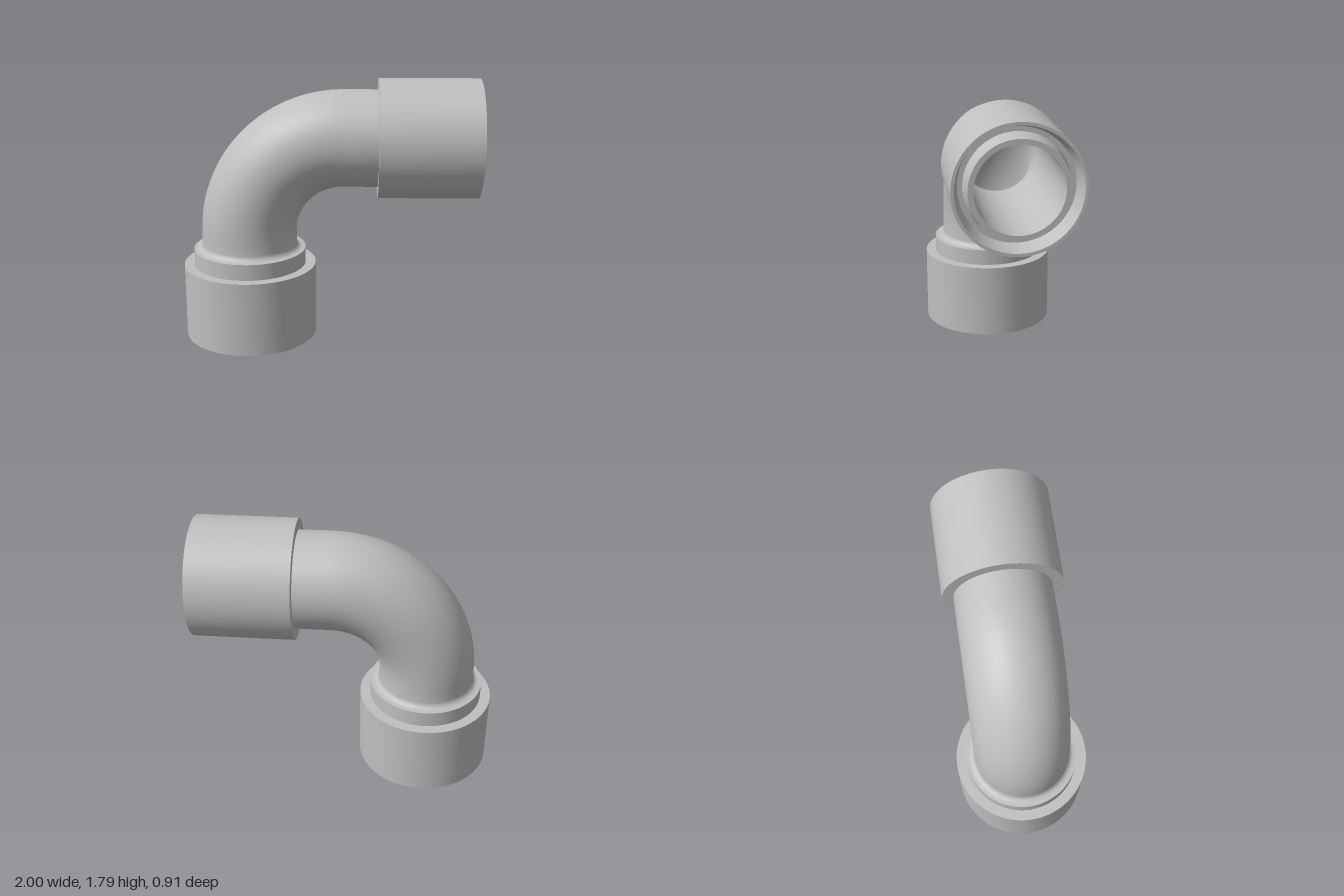
import * as THREE from 'three';
import { toCreasedNormals } from 'three/addons/utils/BufferGeometryUtils.js';

const BORE = 0.27, PIPE = 0.325, BEND = 0.645; // pipe radii and bend radius
const AXIS_X = -0.545, AXIS_Y = 1.39;          // lower axis and upper axis
const BEND_X = AXIS_X + BEND, BEND_Y = AXIS_Y - BEND;

// Revolved profile of [radius, height] pairs, crisp at its corners
function turned(points) {
  const profile = points.map(([r, h]) => new THREE.Vector2(r, h));
  return toCreasedNormals(new THREE.LatheGeometry(profile, 72), 0.5);
}

// Quarter-turn pipe surface; inward = true turns the faces to the inside
function quarterBend(radius, inward) {
  const geometry = new THREE.TorusGeometry(BEND, radius, 72, 48, Math.PI / 2);
  geometry.rotateZ(Math.PI / 2);
  if (inward) {
    geometry.setIndex(Array.from(geometry.index.array).reverse());
    const n = geometry.attributes.normal;
    for (let i = 0; i < n.count; i++) n.setXYZ(i, -n.getX(i), -n.getY(i), -n.getZ(i));
  }
  return geometry;
}

export function createModel() {
  const group = new THREE.Group();
  const grey = new THREE.MeshStandardMaterial({ color: 0xbfbfbf });
  grey.name = 'grey';

  function add(name, geometry, x, y) {
    const mesh = new THREE.Mesh(geometry, grey);
    mesh.name = name;
    mesh.position.set(x, y, 0);
    group.add(mesh);
  }

  // Lower socket: wide hollow cup, collar, small cove up to the pipe
  const cove = [];
  for (let i = 0; i <= 6; i++) {
    const a = (i / 6) * Math.PI / 2;
    cove.push([0.365 - 0.04 * Math.sin(a), 0.66 - 0.04 * Math.cos(a)]);
  }
  add('lowerSocket', turned([
    [0.435, 0], [0.455, 0], [0.455, 0.51], [0.385, 0.51], [0.385, 0.62],
    ...cove, [PIPE, BEND_Y],
  ]), AXIS_X, 0);
  add('lowerSocketInside', turned([
    [BORE, BEND_Y], [BORE, 0.6], [0.32, 0.43], [0.435, 0.43], [0.435, 0],
  ]), AXIS_X, 0);

  // Elbow
  add('elbowOutside', quarterBend(PIPE, false), BEND_X, BEND_Y);
  add('elbowBore', quarterBend(BORE, true), BEND_X, BEND_Y);

  // Upper pipe end with its sleeve and the groove between them
  const sleeve = turned([
    [PIPE, BEND_X], [PIPE, 0.33], [0.4, 0.33], [0.4, 1], [0.38, 1],
    [0.352, 0.88], [0.322, 0.88], [0.303, 1], [BORE, 1], [BORE, BEND_X],
  ]);
  sleeve.rotateZ(-Math.PI / 2);
  add('upperSleeve', sleeve, 0, AXIS_Y);

  return group;
}
